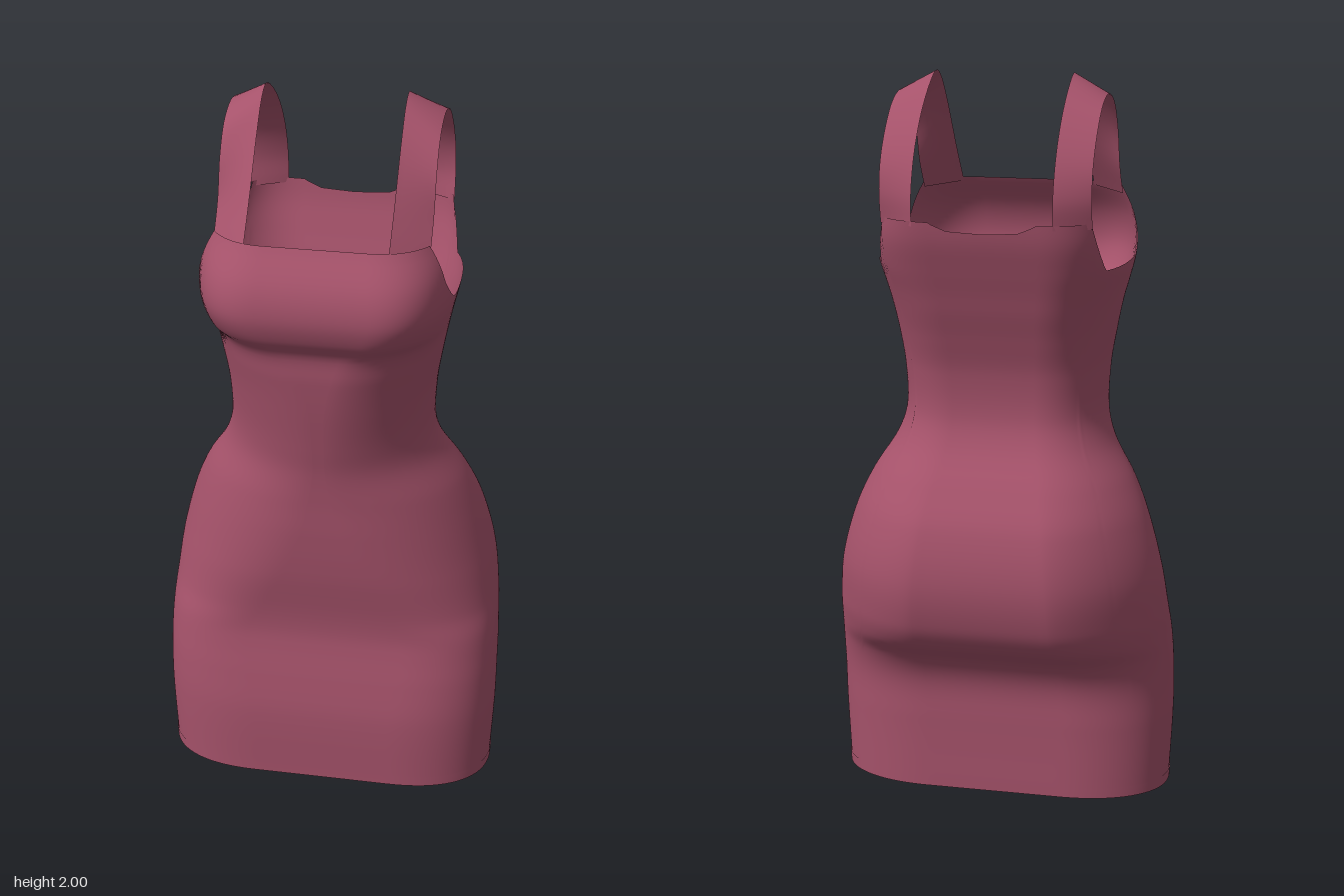
import * as THREE from 'three';

// Body stations: height, half width, front z, back z, widest z,
// front and back corner squareness, flat share of the front panel
const STATIONS = [
  [0.00, 0.465, 0.235, -0.170, 0.03, 2.35, 2.15, 0.4],
  [0.20, 0.475, 0.235, -0.170, 0.03, 2.35, 2.15, 0.4],
  [0.32, 0.476, 0.220, -0.177, 0.02, 2.45, 2.1, 0.43],
  [0.40, 0.475, 0.206, -0.220, 0.00, 2.5, 1.9, 0.46],
  [0.46, 0.472, 0.199, -0.295, -0.02, 2.5, 1.7, 0.46],
  [0.53, 0.467, 0.203, -0.337, -0.05, 2.3, 1.6, 0.38],
  [0.66, 0.450, 0.223, -0.356, -0.075, 2.1, 1.6, 0.26],
  [0.80, 0.412, 0.236, -0.328, -0.065, 2.0, 1.65, 0.15],
  [0.90, 0.368, 0.241, -0.270, -0.03, 1.9, 1.8, 0.1],
  [1.00, 0.307, 0.250, -0.200, 0.01, 1.75, 2.0, 0.06],
  [1.08, 0.283, 0.264, -0.172, 0.03, 1.75, 2.1, 0.06],
  [1.20, 0.285, 0.285, -0.176, 0.035, 1.85, 2.2, 0.08],
  [1.30, 0.300, 0.299, -0.203, 0.04, 1.9, 2.2, 0.15],
  [1.38, 0.315, 0.308, -0.230, 0.04, 2.0, 2.25, 0.25],
  [1.43, 0.326, 0.342, -0.245, 0.04, 2.3, 2.35, 0.37],
  [1.50, 0.341, 0.360, -0.268, 0.03, 2.55, 2.5, 0.4],
  [1.58, 0.343, 0.343, -0.292, 0.02, 2.5, 2.7, 0.4],
  [1.67, 0.330, 0.283, -0.306, 0.00, 2.3, 2.85, 0.4],
];

// Flat share of the back panel, and the angle where the rounded corner ends
const FLAT_BACK = 0.4, CORNER = 70;

// Upper edge: angle in degrees (front is 90, back is -90), height
const TOP_EDGE = [
  [-90, 1.605], [-76, 1.61], [-68, 1.632], [-38, 1.635], [-36, 1.575], [-33, 1.525], [-30, 1.5],
  [0, 1.5], [9, 1.5], [14, 1.508], [19, 1.532], [24, 1.57], [27, 1.61], [31, 1.65], [34, 1.672], [90, 1.672],
];

// Interpolation through table rows, keyed by the first column
function sample(table, key, col, smooth = true) {
  let i = 0;
  while (i < table.length - 2 && key > table[i + 1][0]) i++;
  const a = table[i], b = table[i + 1], h = b[0] - a[0];
  const t = Math.min(1, Math.max(0, (key - a[0]) / h));
  if (!smooth) return a[col] + (b[col] - a[col]) * t;
  const p = table[Math.max(0, i - 1)], q = table[Math.min(table.length - 1, i + 2)];
  const ma = ((b[col] - p[col]) / (b[0] - p[0])) * h;
  const mb = ((q[col] - a[col]) / (q[0] - a[0])) * h;
  const t2 = t * t, t3 = t2 * t;
  return (2 * t3 - 3 * t2 + 1) * a[col] + (t3 - 2 * t2 + t) * ma
    + (3 * t2 - 2 * t3) * b[col] + (t3 - t2) * mb;
}

// Point on the body surface: flat front and back panels joined by rounded corners
function bodyPoint(u, y, offset = 0) {
  const [hw, zf, zb, zc, nf, nb, ff] = [1, 2, 3, 4, 5, 6, 7].map((c) => sample(STATIONS, y, c));
  const angle = u * 360, front = angle <= 180;
  const fromSide = 90 - Math.abs((angle % 180) - 90);
  const n = front ? nf : nb, share = front ? ff : FLAT_BACK;
  const phi = THREE.MathUtils.degToRad((Math.min(fromSide, CORNER) / CORNER) * 90);
  const c = Math.cos(phi), s = Math.sin(phi);
  const r = Math.pow(Math.abs(c) ** n + s ** n, -1 / n);
  const flat = share * Math.min(1, (90 - fromSide) / (90 - CORNER));
  const x = (hw + offset) * (flat + (1 - share) * r * c);
  const z = ((front ? zf - zc : zc - zb) + offset) * r * s;
  return [angle < 90 || angle > 270 ? x : -x, y, zc + (front ? z : -z)];
}

// Grid surface from point(u, v); closed joins the last column to the first
function gridSurface(cols, rows, closed, point) {
  const pos = [], index = [], w = closed ? cols : cols + 1;
  for (let j = 0; j <= rows; j++)
    for (let i = 0; i < w; i++) pos.push(...point(i / cols, j / rows));
  for (let j = 0; j < rows; j++)
    for (let i = 0; i < cols; i++) {
      const a = j * w + i, b = j * w + ((i + 1) % w);
      index.push(a, a + w, b, b, a + w, b + w);
    }
  const g = new THREE.BufferGeometry();
  g.setAttribute('position', new THREE.Float32BufferAttribute(pos, 3));
  g.setIndex(index);
  g.computeVertexNormals();
  return g;
}

export function createModel() {
  const group = new THREE.Group();
  const fabric = new THREE.MeshStandardMaterial({ color: 0xa5526a, side: THREE.DoubleSide });
  fabric.name = 'rose fabric';
  const add = (name, geometry) => {
    const mesh = new THREE.Mesh(geometry, fabric);
    mesh.name = name;
    group.add(mesh);
    return mesh;
  };

  // Fitted body with square neckline and cut-down armholes
  add('dressBody', gridSurface(180, 120, true, (u, v) => {
    const deg = THREE.MathUtils.radToDeg(Math.asin(Math.sin(u * Math.PI * 2)));
    return bodyPoint(u, v * sample(TOP_EDGE, deg, 1, false));
  }));

  // Folded band at the hem
  add('hemBand', gridSurface(180, 2, true, (u, v) => bodyPoint(u, v * 0.03, 0.002)));

  // Shoulder straps, running front to back between an inner and an outer edge
  const edge = (x, pts) => new THREE.CatmullRomCurve3(pts.map(([z, y]) => new THREE.Vector3(x, y, z)));
  const inner = edge(0.188, [[0.284, 1.66], [0.2, 1.765], [0.095, 1.91], [0.03, 1.98], [-0.02, 2.0],
    [-0.1, 1.965], [-0.2, 1.885], [-0.268, 1.79], [-0.298, 1.7], [-0.299, 1.62]]);
  const outer = edge(0.284, [[0.205, 1.65], [0.15, 1.735], [0.115, 1.84], [0.06, 1.915], [-0.03, 1.948],
    [-0.12, 1.925], [-0.2, 1.855], [-0.25, 1.775], [-0.263, 1.7], [-0.25, 1.62]]);
  const strap = gridSurface(48, 6, false, (u, v) =>
    inner.getPoint(u).lerp(outer.getPoint(u), v).toArray());
  add('leftStrap', strap);
  add('rightStrap', strap).scale.x = -1;

  return group;
}
